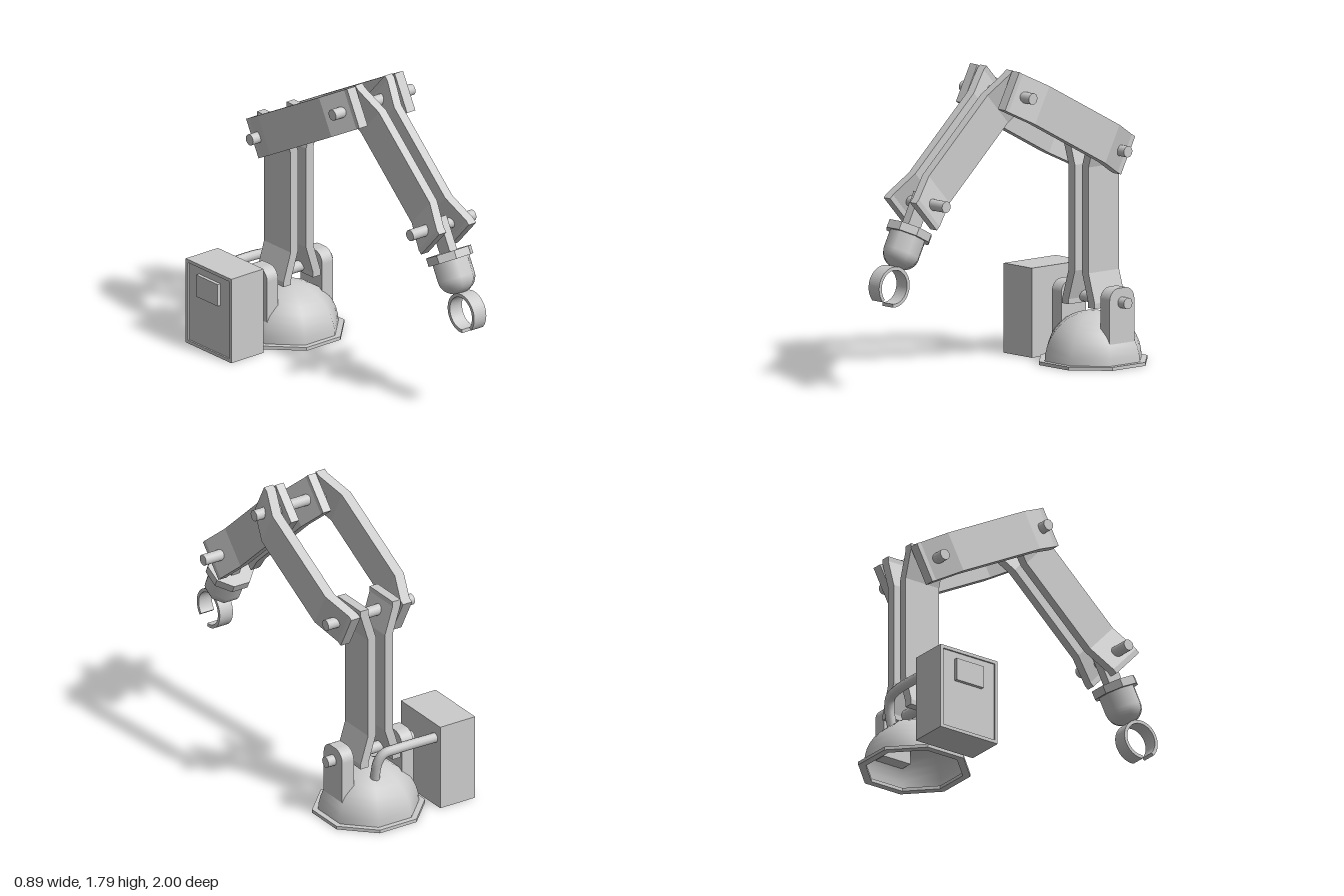
import * as THREE from 'three';

const CX = 0.135; // centre plane of the arm
const smooth = new THREE.MeshStandardMaterial({ color: 0xcccccc, side: THREE.DoubleSide });
const flat = new THREE.MeshStandardMaterial({ color: 0xcccccc, flatShading: true, side: THREE.DoubleSide });

function add(parent, name, geometry, material, x = 0, y = 0, z = 0) {
  const mesh = new THREE.Mesh(geometry, material);
  mesh.name = name;
  mesh.position.set(x, y, z);
  parent.add(mesh);
  return mesh;
}

const box = (w, h, d) => new THREE.BoxGeometry(w, h, d);

// eight-sided turned part
function turned(points) {
  return new THREE.LatheGeometry(points.map(p => new THREE.Vector2(...p)), 8, Math.PI / 8);
}

// pair of mirrored cranked bars; offsets are measured from the centre plane
function armPair(name, y, z, dirY, dirZ, endIn, midIn, thick) {
  const group = new THREE.Group();
  group.name = name;
  const h = 0.507, flare = h - 0.03, mid = h - 0.2, width = 0.237;
  const inner = [[endIn, -h], [endIn, -flare], [midIn, -mid], [midIn, mid], [endIn, flare], [endIn, h]];
  const outer = inner.map(([x, l]) => [x + thick, l]).reverse();
  for (const side of [-1, 1]) {
    const shape = new THREE.Shape([...inner, ...outer].map(([x, l]) => new THREE.Vector2(side * x, l)));
    const geo = new THREE.ExtrudeGeometry(shape, { depth: width, bevelEnabled: false });
    geo.translate(0, 0, -width / 2);
    add(group, name + 'Bar', geo, flat);
  }
  group.position.set(CX, y, z);
  group.rotation.x = Math.atan2(dirZ, dirY);
  return group;
}

function pin(parent, name, y, z, halfLength) {
  const geo = new THREE.CylinderGeometry(0.033, 0.033, halfLength * 2, 16);
  add(parent, name, geo.rotateZ(Math.PI / 2), smooth, CX, y, z);
}

function makeBase() {
  const base = new THREE.Group();
  base.name = 'base';
  base.position.set(CX, 0, -0.69);
  const dome = [];
  for (let i = 0; i <= 10; i++) {
    const a = (i / 10) * Math.PI / 2;
    dome.push([0.295 * Math.cos(a), 0.015 + 0.285 * Math.sin(a)]);
  }
  add(base, 'dome', turned(dome), smooth);
  add(base, 'baseFlange', turned([[0.285, 0], [0.33, 0], [0.33, 0.02], [0.285, 0.02], [0.285, 0]]), flat);

  // round-topped brackets that hold the shoulder pin
  const w = 0.095, top = 0.46, r = 0.07;
  const s = new THREE.Shape();
  s.moveTo(-w, 0.13);
  s.lineTo(w, 0.13);
  s.lineTo(w, top - r);
  s.absarc(w - r, top - r, r, 0, Math.PI / 2, false);
  s.lineTo(r - w, top);
  s.absarc(r - w, top - r, r, Math.PI / 2, Math.PI, false);
  for (const side of [-1, 1]) {
    const geo = new THREE.ExtrudeGeometry(s, { depth: 0.08, bevelEnabled: false, curveSegments: 8 });
    geo.translate(0, 0, -0.04).rotateY(Math.PI / 2);
    add(base, 'shoulderBracket', geo, flat, side * 0.205);
  }
  return base;
}

function makeControlBox() {
  const g = new THREE.Group();
  g.name = 'controlBox';
  g.position.set(0, 0.26, -0.724);
  add(g, 'cabinet', box(0.23, 0.52, 0.405), flat, -0.315);
  // raised rim around the outer face
  for (const side of [-1, 1]) {
    add(g, 'rim', box(0.01, 0.02, 0.405), flat, -0.435, side * 0.25);
    add(g, 'rim', box(0.01, 0.48, 0.02), flat, -0.435, 0, side * 0.1925);
  }
  add(g, 'panel', box(0.025, 0.135, 0.19), flat, -0.4385, 0.128, -0.001);
  return g;
}

function makeGripper() {
  const g = new THREE.Group();
  g.name = 'gripper';
  g.position.set(CX, 0.915, 0.735);
  g.rotation.x = Math.atan2(-0.46, 0.888); // local -y points along the tool
  add(g, 'wristStem', box(0.055, 0.24, 0.1), flat, 0, 0.11);
  add(g, 'collar', turned([[0, -0.025], [0.138, -0.025], [0.138, 0.025], [0, 0.025]]), flat);
  const bell = [];
  for (let i = 0; i <= 8; i++) {
    const a = (i / 8) * Math.PI / 2;
    bell.push([0.113 * Math.sin(a), -0.13 - 0.095 * Math.cos(a)]);
  }
  bell.push([0.113, -0.02]);
  add(g, 'wristBell', turned(bell), smooth);

  // open ring claw, gap facing away from the wrist
  const gap = 0.38, from = -Math.PI / 2 + gap, to = Math.PI * 1.5 - gap;
  const s = new THREE.Shape();
  s.absarc(0, 0, 0.118, from, to, false);
  s.absarc(0, 0, 0.098, to, from, true);
  const geo = new THREE.ExtrudeGeometry(s, { depth: 0.09, bevelEnabled: false, curveSegments: 28 });
  geo.translate(0, 0, -0.045).rotateY(Math.PI / 2);
  add(g, 'claw', geo, flat, 0, -0.334);
  return g;
}

export function createModel() {
  const model = new THREE.Group();
  model.name = 'robotArm';
  model.add(makeBase(), makeControlBox(), makeGripper());

  // three linked pairs of bars
  model.add(armPair('lowerArm', 0.843, -0.695, 1, 0, 0.083, 0.03, 0.055));
  model.add(armPair('upperArm', 1.451, -0.322, 0.388, 0.735, 0.147, 0.208, 0.062));
  model.add(armPair('foreArm', 1.362, 0.352, 0.565, -0.615, 0.083, 0.03, 0.055));

  pin(model, 'shoulderPin', 0.375, -0.69, 0.297);
  pin(model, 'elbowPin', 1.255, -0.69, 0.297);
  pin(model, 'upperPin', 1.645, 0.045, 0.297);
  pin(model, 'wristPin', 1.08, 0.66, 0.235);

  // cable from the control box into the dome
  const path = new THREE.CatmullRomCurve3([
    [-0.22, 0.432, -0.872], [0.06, 0.432, -0.868], [0.14, 0.418, -0.855],
    [0.172, 0.365, -0.84], [0.175, 0.2, -0.805]
  ].map(p => new THREE.Vector3(...p)));
  add(model, 'cable', new THREE.TubeGeometry(path, 32, 0.029, 10), smooth);
  return model;
}
